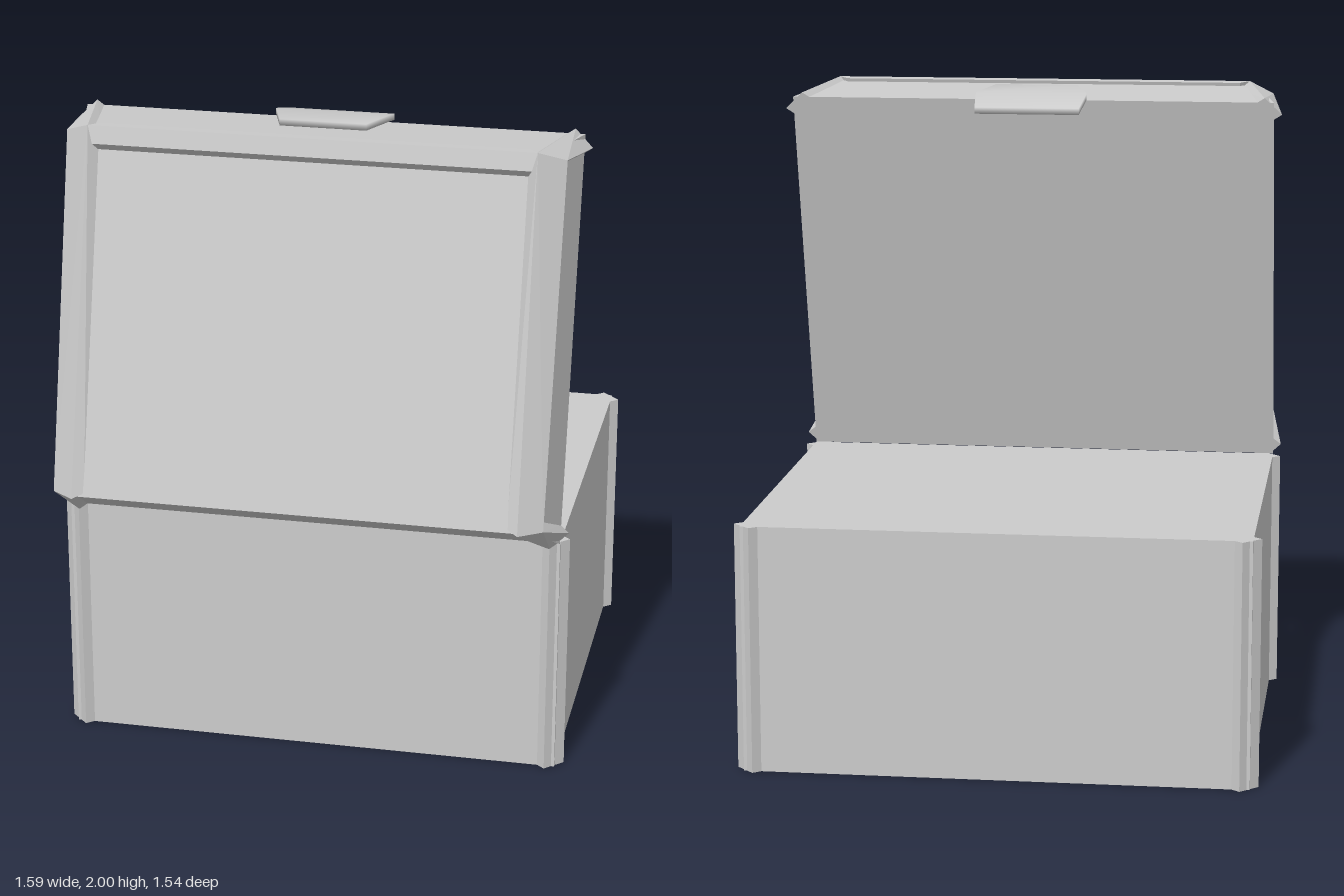
import * as THREE from 'three';
import { ConvexGeometry } from 'three/addons/geometries/ConvexGeometry.js';
import { mergeVertices } from 'three/addons/utils/BufferGeometryUtils.js';

const material = new THREE.MeshStandardMaterial({ color: 0xcccccc, flatShading: true });
const smooth = new THREE.MeshStandardMaterial({ color: 0xcccccc });

// Faceted solid around a few corner points
function solid(name, points) {
  const mesh = new THREE.Mesh(
    new ConvexGeometry(points.map((p) => new THREE.Vector3(...p))), material);
  mesh.name = name;
  return mesh;
}

const flip = (points, side) => points.map(([x, y, z]) => [x * side, y, z]);

// Four corners of a rectangle mirrored in x
const pair = (hx, ...yz) => yz.flatMap(([y, z]) => [[hx, y, z], [-hx, y, z]]);

function makeBase() {
  const base = new THREE.Group();
  base.name = 'base';
  const height = 0.765, zBack = -0.75, zFront = 0.48;
  base.add(solid('baseBox', [
    ...pair(0.77, [0, zBack], [0, zFront], [height, zBack], [height, zFront])]));

  // Diagonal corner posts
  for (const side of [-1, 1]) {
    for (const [z, d] of [[zBack, 1], [zFront, -1]]) {
      const section = [[0.795, 0.035], [0.74, -0.02], [0.71, 0.005], [0.765, 0.06]];
      const points = section.flatMap(([x, o]) => [[x, 0, z + d * o], [x, height, z + d * o]]);
      base.add(solid('cornerPost', flip(points, side)));
    }
  }
  return base;
}

// Lid space: y runs from the hinge to the free edge, z from the rim to the top
function makeLid() {
  const lid = new THREE.Group();
  lid.name = 'lid';
  lid.add(solid('lidBody', [
    ...pair(0.77, [0, 0], [1.24, 0]), ...pair(0.7, [0.068, 0.297], [1.185, 0.297])]));

  // Outer and inner corners where the edge strips meet, at hinge and free end
  const hinge = {
    outer: [[0.75, 0.074, 0.263], [0.68, 0.062, 0.312]],
    inner: [[0.718, 0.1, 0.235], [0.645, 0.08, 0.285]],
    rim: [[0.795, 0.035, 0], [0.74, -0.02, 0], [0.71, 0.005, 0], [0.765, 0.06, 0]],
  };
  const free = {
    outer: [[0.755, 1.171, 0.265], [0.675, 1.19, 0.326]],
    inner: [[0.718, 1.15, 0.235], [0.645, 1.175, 0.285]],
    rim: [[0.795, 1.2, 0], [0.74, 1.255, 0], [0.71, 1.235, 0], [0.765, 1.18, 0]],
  };
  for (const side of [-1, 1]) {
    for (const end of [hinge, free]) {
      lid.add(solid('lidCornerStrip', flip([...end.outer, ...end.inner, ...end.rim], side)));
    }
    lid.add(solid('lidSideStrip', flip([
      ...hinge.outer, ...free.outer, hinge.inner[0], free.inner[0],
      [0.645, 0.08, 0.295], [0.645, 1.175, 0.295]], side)));
  }

  // Strip along the free edge
  lid.add(solid('lidFrontStrip', [
    ...pair(0.675, [1.19, 0.325]), ...pair(0.66, [1.135, 0.325]),
    ...pair(0.645, [1.115, 0.29], [1.198, 0.285])]));

  lid.position.set(0, 0.765, 0.485);
  lid.rotation.x = -Math.PI / 12;
  return lid;
}

// Thin bent plate that widens, then droops past the rim
function makeLatch() {
  const stations = [[0.165, 1.95, 0.033], [0.177, 1.985, 0.16], [0.132, 1.997, 0.31]];
  let geometry = new THREE.BoxGeometry(2, 1, 1, 1, 1, 2);
  const p = geometry.attributes.position;
  for (let i = 0; i < p.count; i++) {
    const [halfWidth, top, z] = stations[Math.round((p.getZ(i) + 0.5) * 2)];
    p.setXYZ(i, p.getX(i) * halfWidth, top + (p.getY(i) - 0.5) * 0.02, z);
  }
  geometry.deleteAttribute('normal');
  geometry.deleteAttribute('uv');
  geometry = mergeVertices(geometry);
  geometry.computeVertexNormals();
  const latch = new THREE.Mesh(geometry, smooth);
  latch.name = 'latch';
  return latch;
}

export function createModel() {
  const chest = new THREE.Group();
  chest.name = 'chest';
  chest.add(makeBase(), makeLid(), makeLatch());
  return chest;
}
